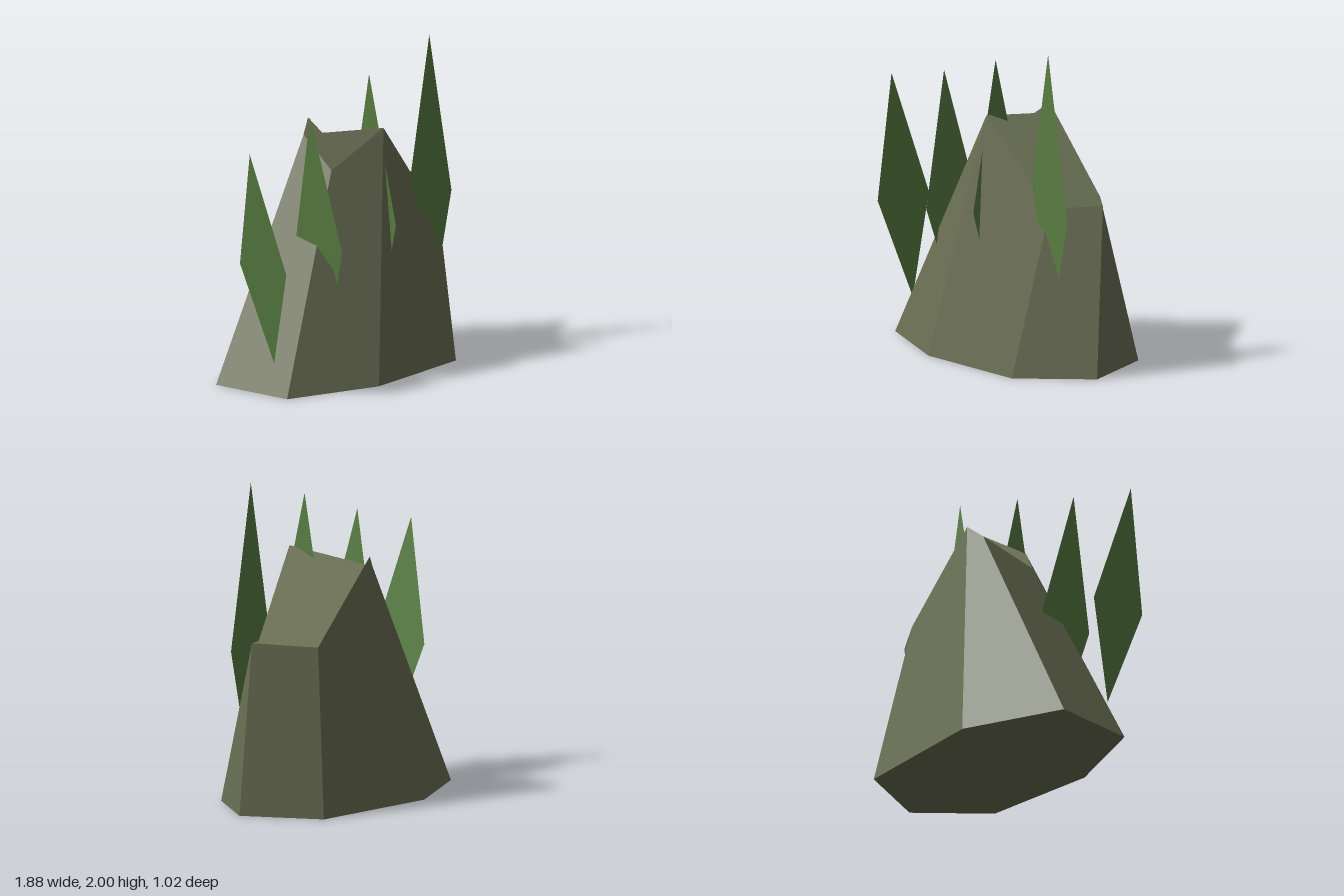
import * as THREE from 'three';

const rockMaterial = new THREE.MeshStandardMaterial({ color: 0x686d52 });
rockMaterial.name = 'mossy stone';
const leafMaterial = new THREE.MeshStandardMaterial({ color: 0x587d42, side: THREE.DoubleSide });
leafMaterial.name = 'leaf green';

// Rock outline on the ground (x, z) and the matching broken rim above it (x, y, z)
const base = [[-0.8, -0.23], [-0.18, -0.51], [0.72, -0.44], [0.94, 0.04], [0.61, 0.44], [-0.14, 0.51], [-0.74, 0.31]]
  .map(([x, z]) => new THREE.Vector3(x, 0, z));
const rim = [[-0.04, 1.43, -0.22], [0.05, 1.51, -0.27], [0.56, 1.02, -0.27], [0.905, 1.07, -0.03],
  [0.61, 1.02, 0.15], [0.14, 1.53, 0.28], [-0.13, 1.28, 0.1]].map((p) => new THREE.Vector3(...p));

// Several triangles shaded as one facet, using their area-weighted normal
function facet(name, triangles, material) {
  const normal = new THREE.Vector3();
  for (const [a, b, c] of triangles) {
    normal.add(b.clone().sub(a).cross(c.clone().sub(a)));
  }
  normal.normalize();
  const points = triangles.flat();
  const geometry = new THREE.BufferGeometry().setFromPoints(points);
  geometry.setAttribute('normal', new THREE.Float32BufferAttribute(points.flatMap(() => normal.toArray()), 3));
  const mesh = new THREE.Mesh(geometry, material);
  mesh.name = name;
  return mesh;
}

function createRock() {
  const rock = new THREE.Group();
  rock.name = 'rock';
  const n = base.length;

  // Slanted sides
  for (let i = 0; i < n; i++) {
    const j = (i + 1) % n;
    rock.add(facet('rockSide', [[base[j], base[i], rim[i]], [base[j], rim[i], rim[j]]], rockMaterial));
  }

  // Uneven broken top
  const top = [[6, 5, 0], [0, 2, 1], [0, 5, 2], [5, 4, 2], [4, 3, 2]];
  rock.add(facet('rockTop', top.map((t) => t.map((i) => rim[i])), rockMaterial));

  // Flat underside
  const under = [];
  for (let i = 1; i < n - 1; i++) under.push([base[0], base[i], base[i + 1]]);
  rock.add(facet('rockUnderside', under, rockMaterial));
  return rock;
}

// Flat kite-shaped blade, widest a little below the middle
function createBlade({ tip, foot, across }) {
  const z = 0.187;
  const a = new THREE.Vector3(tip[0], tip[1], z);
  const b = new THREE.Vector3(foot[0], foot[1], z);
  const middle = a.clone().lerp(b, 0.55);
  const left = middle.clone().sub(across);
  const right = middle.clone().add(across);
  return facet('grassBlade', [[a, left, b], [a, b, right]], leafMaterial);
}

export function createModel() {
  const model = new THREE.Group();
  model.name = 'rockWithGrass';
  model.add(createRock());

  // Row of blades: three edge-on to the front, the last one facing it
  const sideways = new THREE.Vector3(0, 0, -0.195);
  const frontal = new THREE.Vector3(0.195, 0, 0);
  const blades = [
    { tip: [-0.94, 1.56], foot: [-0.725, 0.2], across: sideways },
    { tip: [-0.41, 1.69], foot: [-0.266, 0.18], across: sideways },
    { tip: [0.11, 1.86], foot: [0.17, 0.17], across: sideways },
    { tip: [0.64, 2.0], foot: [0.64, 0.15], across: frontal },
  ];
  for (const blade of blades) model.add(createBlade(blade));
  return model;
}
